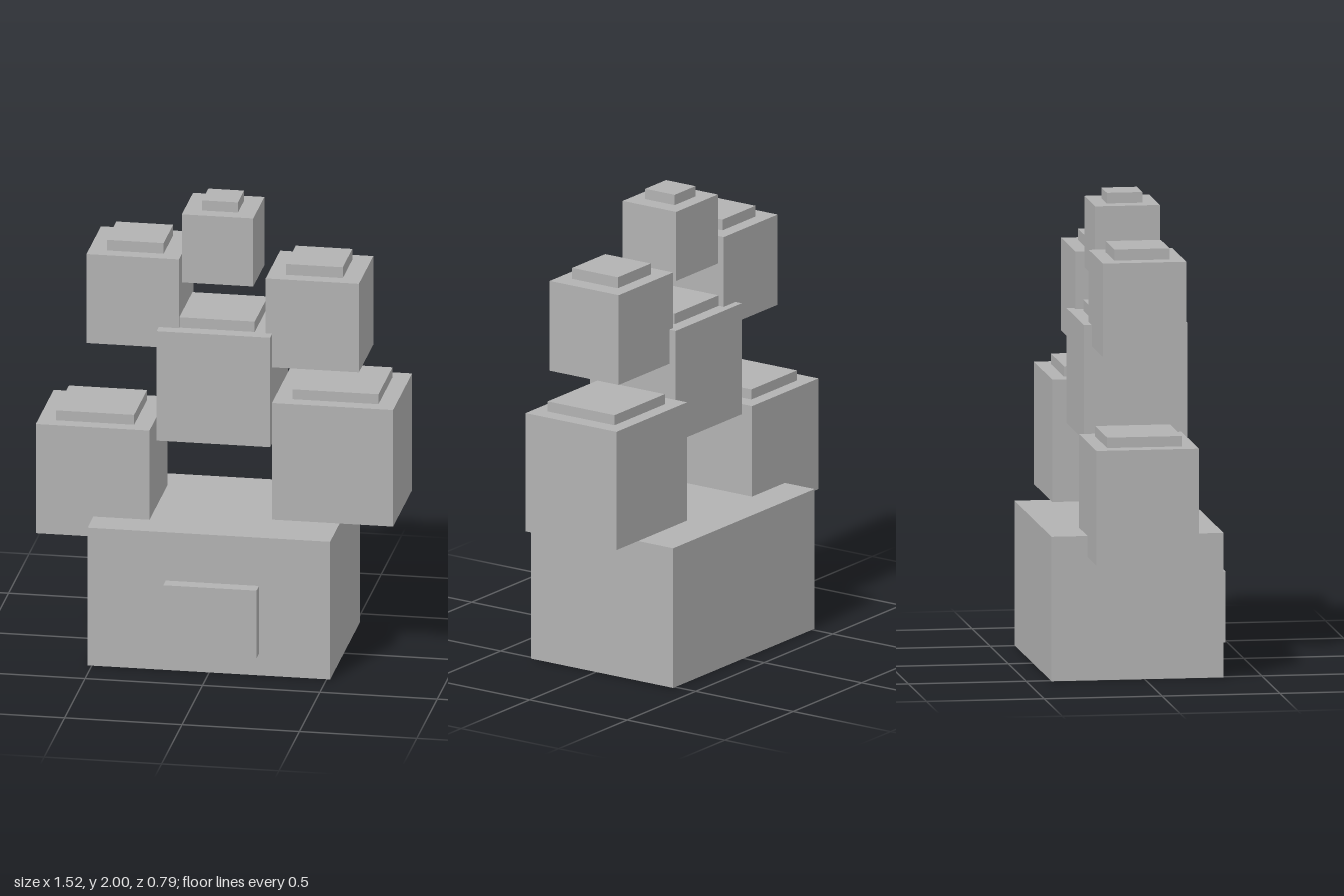
import * as THREE from 'three';

export function createModel() {
  const model = new THREE.Group();
  const grey = new THREE.MeshStandardMaterial({ color: 0xb2b2b2 });
  grey.name = 'grey';

  // Box given by its [min, max] extents on each axis
  function box(name, [x0, x1], [y0, y1], [z0, z1], parent = model) {
    const mesh = new THREE.Mesh(new THREE.BoxGeometry(x1 - x0, y1 - y0, z1 - z0), grey);
    mesh.name = name;
    mesh.position.set((x0 + x1) / 2, (y0 + y1) / 2, (z0 + z1) / 2);
    parent.add(mesh);
  }

  // Planter with a raised front plate
  box('planter', [-0.518, 0.515], [0, 0.613], [-0.395, 0.335]);
  box('frontPlate', [-0.185, 0.212], [0.097, 0.398], [0.335, 0.395]);

  // Floating blocks, each with a thin cap: x, y, z extents, then cap x, top y and z
  const blocks = [
    ['lowerRight', [-0.763, -0.279], [0.524, 1.01], [-0.242, 0.193], [-0.688, -0.355], 1.054, [-0.185, 0.132]],
    ['lowerLeft', [0.242, 0.758], [0.645, 1.164], [-0.275, 0.191], [0.318, 0.685], 1.208, [-0.214, 0.129]],
    ['middle', [-0.243, 0.24], [0.979, 1.466], [-0.215, 0.225], [-0.157, 0.164], 1.512, [-0.156, 0.164]],
    ['upperRight', [-0.551, -0.157], [1.376, 1.772], [-0.182, 0.172], [-0.475, -0.233], 1.819, [-0.122, 0.112]],
    ['upperLeft', [0.212, 0.609], [1.316, 1.71], [-0.182, 0.172], [0.289, 0.53], 1.758, [-0.122, 0.112]],
    ['top', [-0.154, 0.15], [1.652, 1.955], [-0.154, 0.12], [-0.078, 0.074], 2, [-0.093, 0.058]],
  ];
  for (const [name, x, y, z, capX, capTop, capZ] of blocks) {
    const group = new THREE.Group();
    group.name = name + 'Cluster';
    box(name + 'Block', x, y, z, group);
    box(name + 'Cap', capX, [y[1], capTop], capZ, group);
    model.add(group);
  }
  return model;
}
